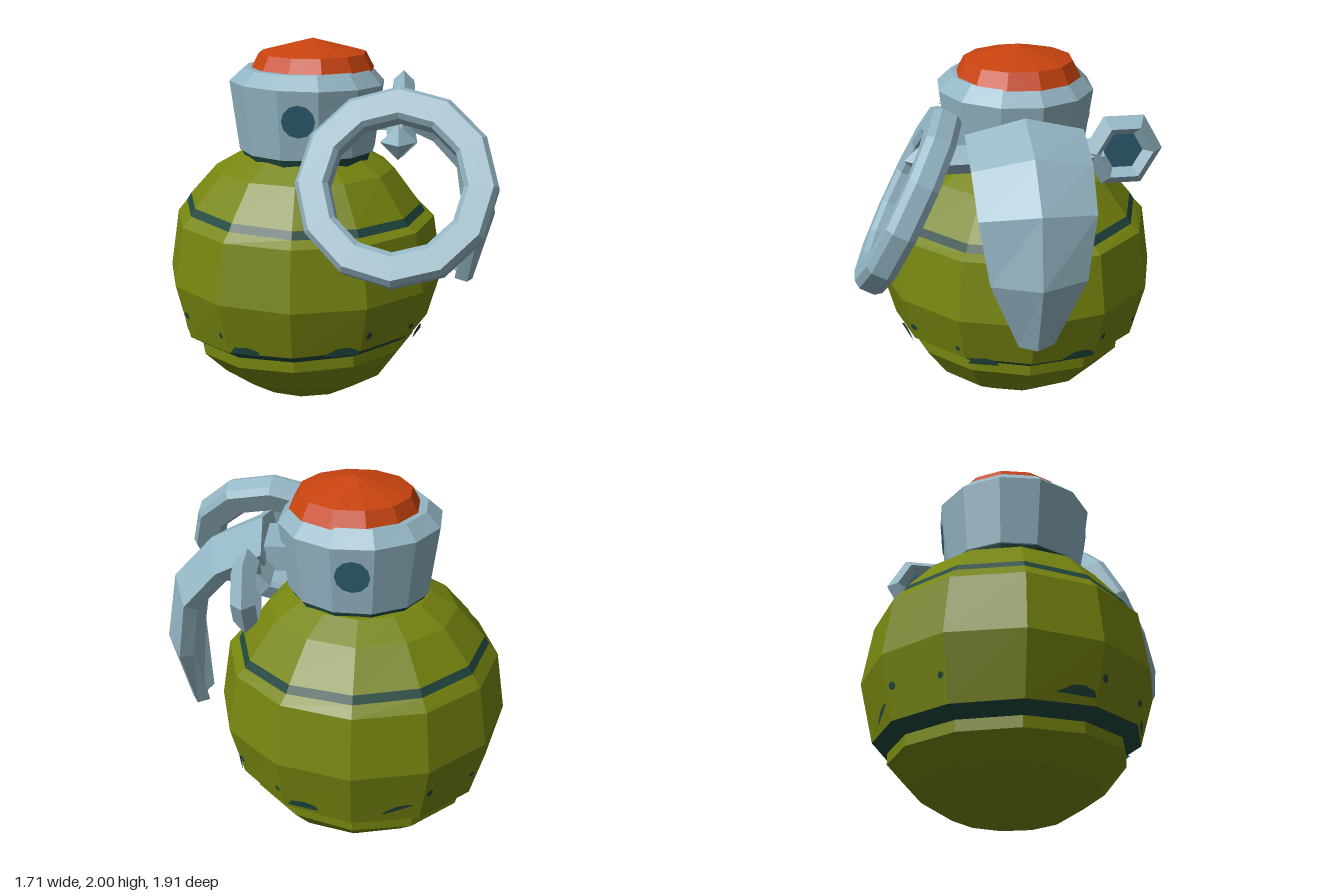
import * as THREE from 'three';

const mat = (name, color, side = THREE.FrontSide) => {
  const m = new THREE.MeshStandardMaterial({ color, flatShading: true, side });
  m.name = name;
  return m;
};
const deg = Math.PI / 180;

// Skins loops of points (listed bottom to top, anticlockwise from above), with optional end caps
function loft(loops, caps = false) {
  const n = loops[0].length, pos = [];
  const tri = (...p) => p.forEach(v => pos.push(v.x, v.y, v.z));
  for (let i = 0; i < loops.length - 1; i++) {
    for (let j = 0; j < n; j++) {
      const k = (j + 1) % n;
      const a = loops[i][j], b = loops[i][k], c = loops[i + 1][k], d = loops[i + 1][j];
      tri(a, b, c);
      tri(a, c, d);
    }
  }
  if (caps) {
    [loops[0], loops[loops.length - 1]].forEach((loop, end) => {
      const mid = loop.reduce((s, p) => s.add(p), new THREE.Vector3()).divideScalar(n);
      for (let j = 0; j < n; j++) {
        const a = loop[j], b = loop[(j + 1) % n];
        end ? tri(a, b, mid) : tri(b, a, mid);
      }
    });
  }
  const g = new THREE.BufferGeometry();
  g.setAttribute('position', new THREE.Float32BufferAttribute(pos, 3));
  g.computeVertexNormals();
  return g;
}

// Twelve-sided ring: radius, height, slope along x and z
function ring([r, y, sx = 0, sz = 0], cx, cz, phase) {
  return Array.from({ length: 12 }, (_, j) => {
    const a = (phase + j * 30) * deg, x = r * Math.sin(a), z = r * Math.cos(a);
    return new THREE.Vector3(cx + x, y + sx * x + sz * z, cz + z);
  });
}

export function createModel() {
  const olive = mat('olive', 0x77850f);
  const steel = mat('blue grey', 0x93b5c3);
  const orange = mat('orange red', 0xc8430f);
  const dark = mat('dark green', 0x20483f, THREE.DoubleSide);
  const teal = mat('dark teal', 0x2e5d70, THREE.DoubleSide);

  const model = new THREE.Group();
  const add = (name, geo, material, parent = model) => {
    const m = new THREE.Mesh(geo, material);
    m.name = name;
    parent.add(m);
    return m;
  };
  const turned = (name, rings, material, cx, cz, phase) =>
    add(name, loft(rings.map(r => ring(r, cx, cz, phase))), material);

  // Body: base bowl, lower band, main shell, upper band, shoulder
  const CX = -0.11, CZ = -0.18, PH = 4.5;
  const body = (name, rings, material) => turned(name, rings, material, CX, CZ, PH);
  const lip = [0.61, 0.365, 0.025, 0.05], lower = [0.69, 0.418, 0.025, 0.05];
  const upperA = [0.665, 1.075, -0.02, -0.02], upperB = [0.64, 1.115, -0.02, -0.02];
  body('baseBowl', [[0.001, 0], [0.31, 0.055], [0.49, 0.17], [0.61, 0.305, 0.025, 0.05], lip], olive);
  body('lowerBand', [lip, lower], dark);
  body('shell', [lower, [0.765, 0.71], [0.715, 1.03], upperA], olive);
  body('upperBand', [upperA, upperB], dark);
  body('shoulder', [upperB, [0.49, 1.3], [0.35, 1.38], [0.28, 1.39]], olive);

  // Paint chips lying on the flat facets of the shell
  const onShell = (az, y) => {
    const off = ((az - PH) % 30 + 30) % 30 - 15;
    const r = (0.69 + (y - 0.418) * 0.257) * Math.cos(15 * deg) / Math.cos(off * deg) + 0.006;
    return new THREE.Vector3(CX + r * Math.sin(az * deg), y, CZ + r * Math.cos(az * deg));
  };
  const chip = (name, points) => {
    const g = new THREE.BufferGeometry().setFromPoints(points.map(p => onShell(...p)));
    g.setIndex(points.slice(2).flatMap((_, i) => [0, i + 1, i + 2]));
    g.computeVertexNormals();
    add(name, g, dark);
  };
  const dot = (az, y, r) => chip('paintDot',
    Array.from({ length: 6 }, (_, i) => [az + r * 80 * Math.cos(i * 60 * deg), y + r * Math.sin(i * 60 * deg)]));
  for (let q = 0; q < 360; q += 90) {
    chip('paintChip', [[q - 13, 0.44], [q + 4, 0.44], [q + 3, 0.47], [q - 1, 0.49], [q - 6, 0.485], [q - 10, 0.46]]);
    chip('paintChip', [[q - 54, 0.43], [q - 40, 0.43], [q - 41, 0.46], [q - 46, 0.475], [q - 52, 0.465]]);
    dot(q + 7.5, 0.545, 0.022);
    dot(q - 58, 0.52, 0.018);
  }

  // Neck and button
  const NX = -0.1, NZ = -0.155;
  turned('neckSeal', [[0.34, 1.35], [0.362, 1.415]], dark, NX, NZ, 18);
  turned('neck', [[0.3, 1.41], [0.372, 1.41], [0.42, 1.775, -0.02], [0.345, 1.85], [0.3, 1.85]], steel, NX, NZ, 18);
  turned('button', [[0.335, 1.84], [0.29, 1.925], [0.001, 2]], orange, -0.07, -0.155, 18);
  for (const az of [-27, 153]) {
    const hole = add('neckHole', new THREE.CircleGeometry(0.088, 12), teal);
    hole.rotation.set(0.12, az * deg, 0, 'YXZ');
    hole.position.set(NX + 0.392 * Math.sin(az * deg), 1.62, NZ + 0.392 * Math.cos(az * deg));
  }

  // Lever assembly: local z points away from the neck
  const side = new THREE.Group();
  side.name = 'leverAssembly';
  side.position.set(NX, 0, NZ);
  side.rotation.y = 67 * deg;
  model.add(side);

  // Each section: outward distance, height, half width, tilt of its outward normal
  const sections = [
    [0.88, 0.68, 0.09, -15, 0.04], [0.93, 1.05, 0.24, 0, 0.1], [0.88, 1.37, 0.29, 25, 0.1],
    [0.71, 1.56, 0.3, 50, 0.09], [0.48, 1.67, 0.3, 75, 0.08],
  ].map(([u, y, w, tilt, bump]) => {
    const p = (x, d) => new THREE.Vector3(x - 0.03, y + d * Math.sin(tilt * deg), u + d * Math.cos(tilt * deg));
    return [p(0, bump), p(w, 0), p(w * 0.88, -0.07), p(0, -0.02), p(-w * 0.88, -0.07), p(-w, 0)];
  });
  add('lever', loft(sections, true), steel, side);
  add('leverBracket', new THREE.BoxGeometry(0.3, 0.13, 0.28), steel, side).position.set(0, 1.6, 0.43);

  // Pin through the lever with a pointed end and a six-sided eye
  const pin = add('pin', new THREE.CylinderGeometry(0.075, 0.075, 0.9, 4), steel, side);
  pin.rotation.z = Math.PI / 2;
  pin.position.set(-0.09, 1.55, 0.5);
  const tip = add('pinTip', new THREE.ConeGeometry(0.09, 0.1, 4), steel, side);
  tip.rotation.z = Math.PI / 2;
  tip.position.set(-0.585, 1.55, 0.48);
  add('pinEye', new THREE.TorusGeometry(0.145, 0.06, 4, 6), steel, side).position.set(0.46, 1.57, 0.53);
  const fill = add('pinEyeRecess', new THREE.CylinderGeometry(0.12, 0.12, 0.03, 6), teal, side);
  fill.rotation.set(Math.PI / 2, Math.PI / 6, 0);
  fill.position.set(0.46, 1.57, 0.53);

  // Pull ring with a square bar, hanging at a slant
  const bar = [[0.335, -0.05], [0.36, -0.075], [0.48, -0.075], [0.505, -0.04], [0.505, 0.04],
    [0.48, 0.075], [0.36, 0.075], [0.335, 0.05], [0.335, -0.05]].map(p => new THREE.Vector2(...p));
  const pull = add('pullRing', new THREE.LatheGeometry(bar, 12), steel);
  pull.quaternion.setFromUnitVectors(new THREE.Vector3(0, 1, 0), new THREE.Vector3(-0.465, 0.447, 0.765).normalize());
  pull.position.set(0.09, 1.345, 0.605);

  return model;
}
